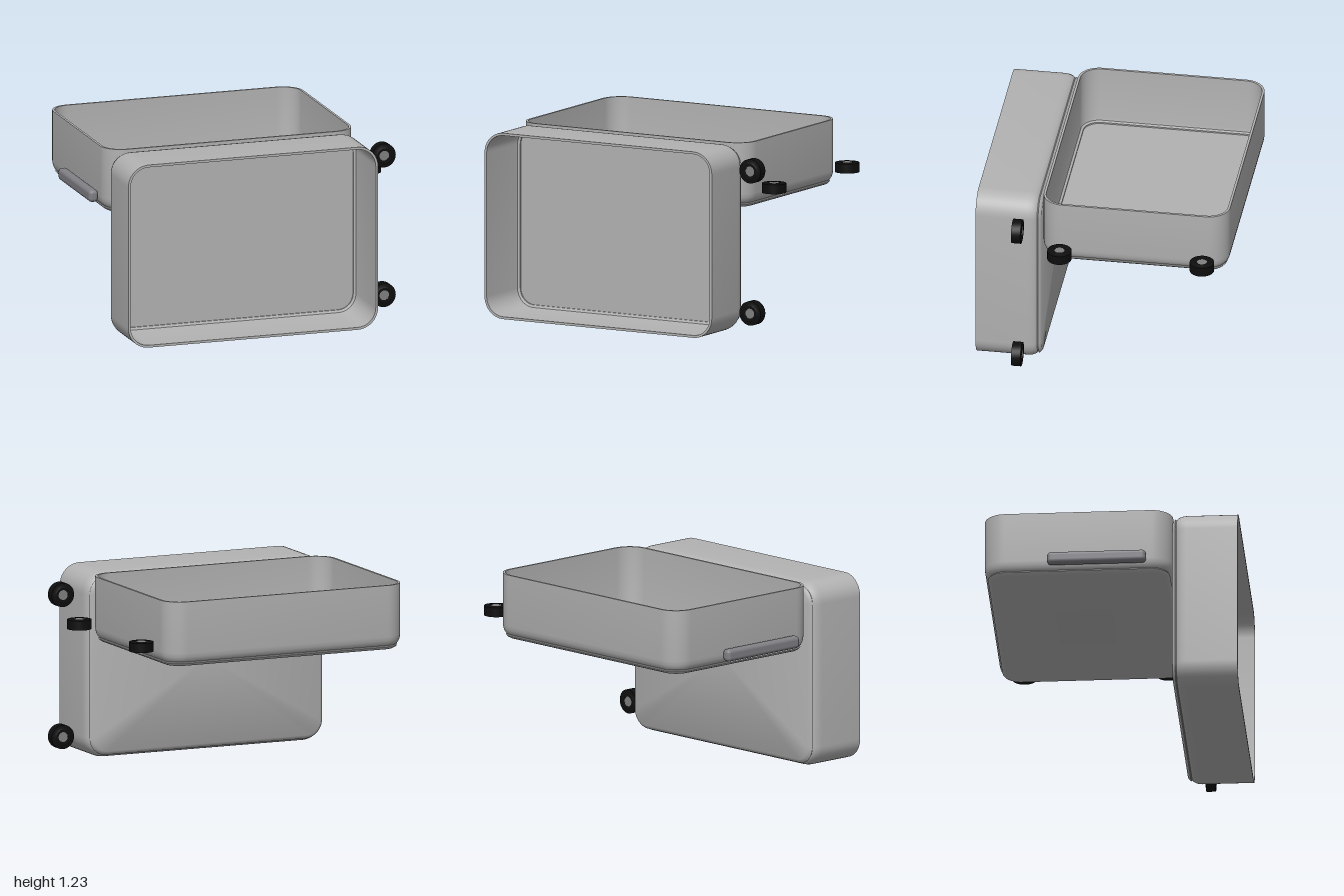
import * as THREE from 'three';
import { toCreasedNormals } from 'three/addons/utils/BufferGeometryUtils.js';
import { RoundedBoxGeometry } from 'three/addons/geometries/RoundedBoxGeometry.js';

const material = (name, color) => {
  const m = new THREE.MeshStandardMaterial({ color });
  m.name = name;
  return m;
};

const W = 1.72, D = 1.23, CORNER = 0.14, STEPS = 10;

// Rounded rectangle at height y, shrunk by an inset
function ring(inset, y) {
  const r = CORNER - inset, pts = [];
  for (let c = 0; c < 4; c++) {
    const sx = c === 0 || c === 3 ? 1 : -1, sz = c < 2 ? 1 : -1;
    for (let i = 0; i <= STEPS; i++) {
      const t = (c + i / STEPS) * Math.PI / 2;
      pts.push([sx * (W / 2 - CORNER) + r * Math.cos(t), y, sz * (D / 2 - CORNER) + r * Math.sin(t)]);
    }
  }
  return pts;
}

// Hollow tray: rings joined from the outer base, over the rim, to the inner floor
function trayGeometry() {
  const profile = [
    [0.045, 0], [0.03, 0.008], [0.02, 0.02], // raised base panel
    [0.026, 0.024], [0.026, 0.028], [0.02, 0.032], // groove
    [0.011, 0.045], [0.004, 0.063], [0, 0.09], [0, 0.43], // outer wall
    [0.016, 0.43], [0.016, 0.06], [0.02, 0.04], [0.036, 0.033], [0.036, 0.024], // inner wall
  ];
  const rings = profile.map(([inset, y]) => ring(inset, y));
  const n = rings[0].length, pos = [];
  const tri = (...pts) => pts.forEach(p => pos.push(...p));
  for (let j = 0; j < n; j++) {
    const j2 = (j + 1) % n;
    for (let k = 0; k < rings.length - 1; k++) {
      const a = rings[k], b = rings[k + 1];
      tri(a[j], b[j], a[j2]);
      tri(a[j2], b[j], b[j2]);
    }
    const last = rings[rings.length - 1];
    tri([0, 0, 0], rings[0][j], rings[0][j2]);
    tri(last[j], [0, 0.024, 0], last[j2]);
  }
  const g = new THREE.BufferGeometry();
  g.setAttribute('position', new THREE.Float32BufferAttribute(pos, 3));
  return toCreasedNormals(g, 0.6);
}

export function createModel() {
  const shellGrey = material('shell grey', 0xb2b2b2);
  const tyreBlack = material('tyre black', 0x0e0e0e);
  const hubGrey = material('hub grey', 0x808080);
  const handleGrey = material('handle grey', 0x808085);

  const add = (parent, name, geometry, mat, x = 0, y = 0, z = 0) => {
    const mesh = new THREE.Mesh(geometry, mat);
    mesh.name = name;
    mesh.position.set(x, y, z);
    parent.add(mesh);
    return mesh;
  };

  const tray = trayGeometry();
  // Tyre section: thin at the tread, slightly thicker around the hub
  const tyre = toCreasedNormals(new THREE.LatheGeometry([
    [0.033, -0.034], [0.05, -0.035], [0.056, -0.032], [0.08, -0.031],
    [0.08, 0.031], [0.056, 0.032], [0.05, 0.035], [0.033, 0.034], [0.033, -0.034],
  ].map(([r, y]) => new THREE.Vector2(r, y)), 32), 0.5);
  const hub = new THREE.CylinderGeometry(0.033, 0.033, 0.066, 24);

  // One half of the case with its two wheels
  const half = name => {
    const g = new THREE.Group();
    g.name = name;
    add(g, 'shell', tray, shellGrey);
    for (const z of [-0.47, 0.47]) {
      const wheel = new THREE.Group();
      wheel.name = 'wheel';
      wheel.position.set(0.992, 0.133, z);
      add(wheel, 'tyre', tyre, tyreBlack);
      add(wheel, 'hub', hub, hubGrey);
      g.add(wheel);
    }
    return g;
  };

  const model = new THREE.Group();
  model.name = 'openCase';

  // Flat half, open upwards, with the carrying handle
  const flat = half('flatHalf');
  flat.position.set(-0.075, 0.8, -0.215);
  add(flat, 'handle', new RoundedBoxGeometry(0.064, 0.082, 0.645, 5, 0.026), handleGrey, -0.893, 0.085, 0.125);

  // Upright half, open to the front
  const upright = half('uprightHalf');
  upright.rotation.x = Math.PI / 2;
  upright.position.set(-0.075, 0.615, 0.4);

  model.add(flat, upright);
  return model;
}
